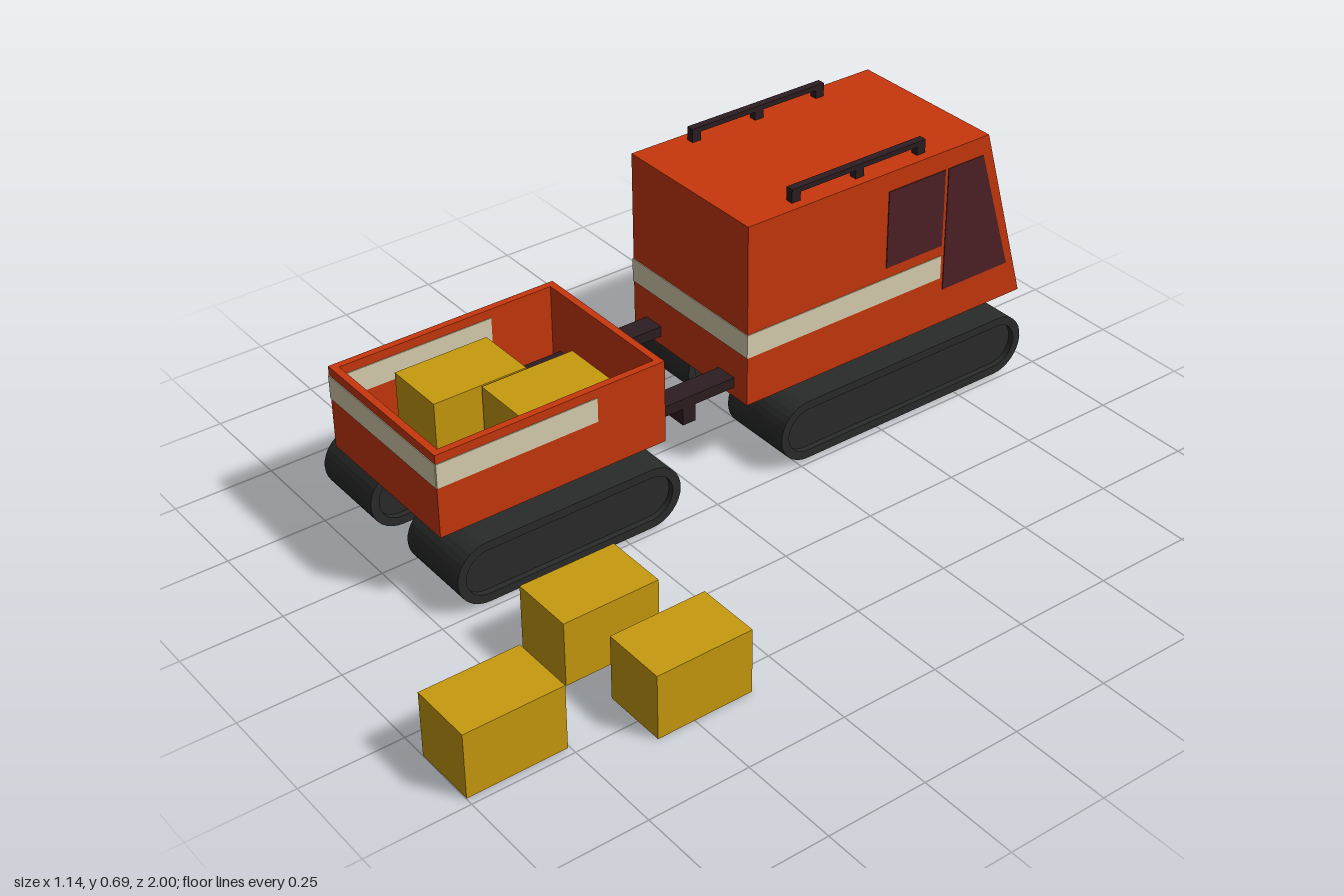
import * as THREE from 'three';

const paint = (color) => new THREE.MeshStandardMaterial({ color });
const RED = paint(0xc8370d), CREAM = paint(0xd9cfb0), GLASS = paint(0x4d2024);
const RUBBER = paint(0x292b2a), IRON = paint(0x2c1d21), CARTON = paint(0xc89a0e);

const MID = -0.29; // centre line of the vehicle
const HALF = 0.22; // half width of the bodies

export function createModel() {
  const model = new THREE.Group();

  const group = (name) => {
    const g = new THREE.Group();
    g.name = name;
    model.add(g);
    return g;
  };
  const add = (parent, name, geometry, material) => {
    const mesh = new THREE.Mesh(geometry, material);
    mesh.name = name;
    parent.add(mesh);
    return mesh;
  };
  // Box given by its limits on each axis
  const box = (parent, name, material, [x0, x1], [y0, y1], [z0, z1]) => {
    const mesh = add(parent, name, new THREE.BoxGeometry(x1 - x0, y1 - y0, z1 - z0), material);
    mesh.position.set((x0 + x1) / 2, (y0 + y1) / 2, (z0 + z1) / 2);
    return mesh;
  };
  // Side profile (u = -z, y) extruded across x
  const profile = (parent, name, material, shape, x0, x1) => {
    const s = Array.isArray(shape) ? new THREE.Shape(shape.map(([u, y]) => new THREE.Vector2(u, y))) : shape;
    const geometry = new THREE.ExtrudeGeometry(s, { depth: x1 - x0, bevelEnabled: false, curveSegments: 8 });
    geometry.rotateY(Math.PI / 2).translate(x0, 0, 0);
    return add(parent, name, geometry, material);
  };

  // Cab body with sloping nose
  const cab = group('cab');
  const nose = (y) => 1 - (0.135 * (y - 0.18)) / 0.475;
  profile(cab, 'cabBody', RED, [[0.14, 0.18], [1, 0.18], [nose(0.655), 0.655], [0.14, 0.655]], MID - HALF, MID + HALF);

  // Panels lying on the nose
  const nosePanel = (name, material, x, halfWidth, a, b) =>
    profile(cab, name, material,
      [[nose(a) - 0.01, a], [nose(a) + 0.002, a], [nose(b) + 0.002, b], [nose(b) - 0.01, b]],
      MID + x - halfWidth, MID + x + halfWidth);
  nosePanel('windscreen', GLASS, 0, 0.21, 0.275, 0.605);
  for (const s of [-1, 1]) {
    nosePanel('headlight', CREAM, s * 0.142, 0.048, 0.208, 0.238);
    for (const x of [0.1, 0.175]) nosePanel('roofLight', CREAM, s * x, 0.02, 0.617, 0.64);
  }

  // Side windows and stripes, mirrored
  for (const s of [-1, 1]) {
    const face = MID + s * HALF;
    const [x0, x1] = [face - 0.002, face + 0.002];
    profile(cab, 'frontSideWindow', GLASS, [[0.74, 0.275], [0.95, 0.275], [0.85, 0.605], [0.74, 0.605]], x0, x1);
    box(cab, 'rearSideWindow', GLASS, [x0, x1], [0.4, 0.605], [-0.73, -0.555]);
    box(cab, 'sideStripe', CREAM, [x0, x1], [0.31, 0.372], [-0.73, -0.138]);
  }
  box(cab, 'rearStripe', CREAM, [MID - HALF, MID + HALF], [0.31, 0.372], [-0.142, -0.138]);

  // Bar on three posts: roof rails stand on the cab, drawbars hang below
  const rail = (name, x, halfWidth, [z0, z1], [bar0, bar1], [post0, post1], postLength) => {
    const g = group(name);
    const xs = [x - halfWidth, x + halfWidth];
    box(g, 'bar', IRON, xs, [bar0, bar1], [z0, z1]);
    for (const t of [0, 0.5, 1]) {
      const z = z0 + t * (z1 - z0 - postLength);
      box(g, 'post', IRON, xs, [post0, post1], [z, z + postLength]);
    }
  };
  for (const s of [-1, 1]) {
    rail('roofRail', MID + s * 0.185, 0.01, [-0.685, -0.285], [0.677, 0.69], [0.655, 0.677], 0.025);
    rail('drawbar', MID + s * 0.142, 0.029, [-0.29, 0.272], [0.205, 0.232], [0.16, 0.205], 0.036);
  }

  // Open trailer tub
  const trailer = group('trailer');
  const T = 0.018, [Z0, Z1] = [0.095, 0.698];
  const wide = [MID - HALF, MID + HALF];
  box(trailer, 'floor', RED, wide, [0.18, 0.2], [Z0, Z1]);
  box(trailer, 'frontWall', RED, wide, [0.2, 0.395], [Z0, Z0 + T]);
  box(trailer, 'rearWall', RED, wide, [0.2, 0.395], [Z1 - T, Z1]);
  box(trailer, 'rearStripe', CREAM, wide, [0.31, 0.372], [Z1 - T - 0.002, Z1 + 0.002]);
  for (const s of [-1, 1]) {
    const x = MID + s * (HALF - T / 2);
    box(trailer, 'sideWall', RED, [x - T / 2, x + T / 2], [0.2, 0.395], [Z0 + T, Z1 - T]);
    box(trailer, 'sideStripe', CREAM, [x - T / 2 - 0.002, x + T / 2 + 0.002], [0.31, 0.372], [0.28, Z1]);
  }

  // Crawler tracks: belt loop around a slightly narrower core
  const stadium = (Shape, u0, u1, r) => {
    const s = new Shape();
    s.absarc(u1, 0.09, r, -Math.PI / 2, Math.PI / 2, false);
    s.absarc(u0, 0.09, r, Math.PI / 2, Math.PI * 1.5, false);
    s.closePath();
    return s;
  };
  for (const [u0, u1] of [[0.195, 0.955], [-0.7, -0.1]]) {
    for (const s of [-1, 1]) {
      const track = group('track');
      const x = MID + s * 0.18, w = 0.102;
      const belt = stadium(THREE.Shape, u0 + 0.08, u1 - 0.08, 0.08);
      belt.holes.push(stadium(THREE.Path, u0 + 0.08, u1 - 0.08, 0.058));
      profile(track, 'belt', RUBBER, belt, x - w, x + w);
      profile(track, 'core', RUBBER, stadium(THREE.Shape, u0 + 0.08, u1 - 0.08, 0.059), x - w + 0.015, x + w - 0.015);
    }
  }

  // Cartons in the tub and on the ground
  const cartons = group('cartons');
  for (const [x, y, z] of [[-0.357, 0.2, 0.45], [-0.19, 0.2, 0.328], [0.237, 0, 0.525], [0.489, 0, 0.472], [0.399, 0, 0.877]])
    box(cartons, 'carton', CARTON, [x - 0.081, x + 0.081], [y, y + 0.165], [z - 0.122, z + 0.122]);

  return model;
}
